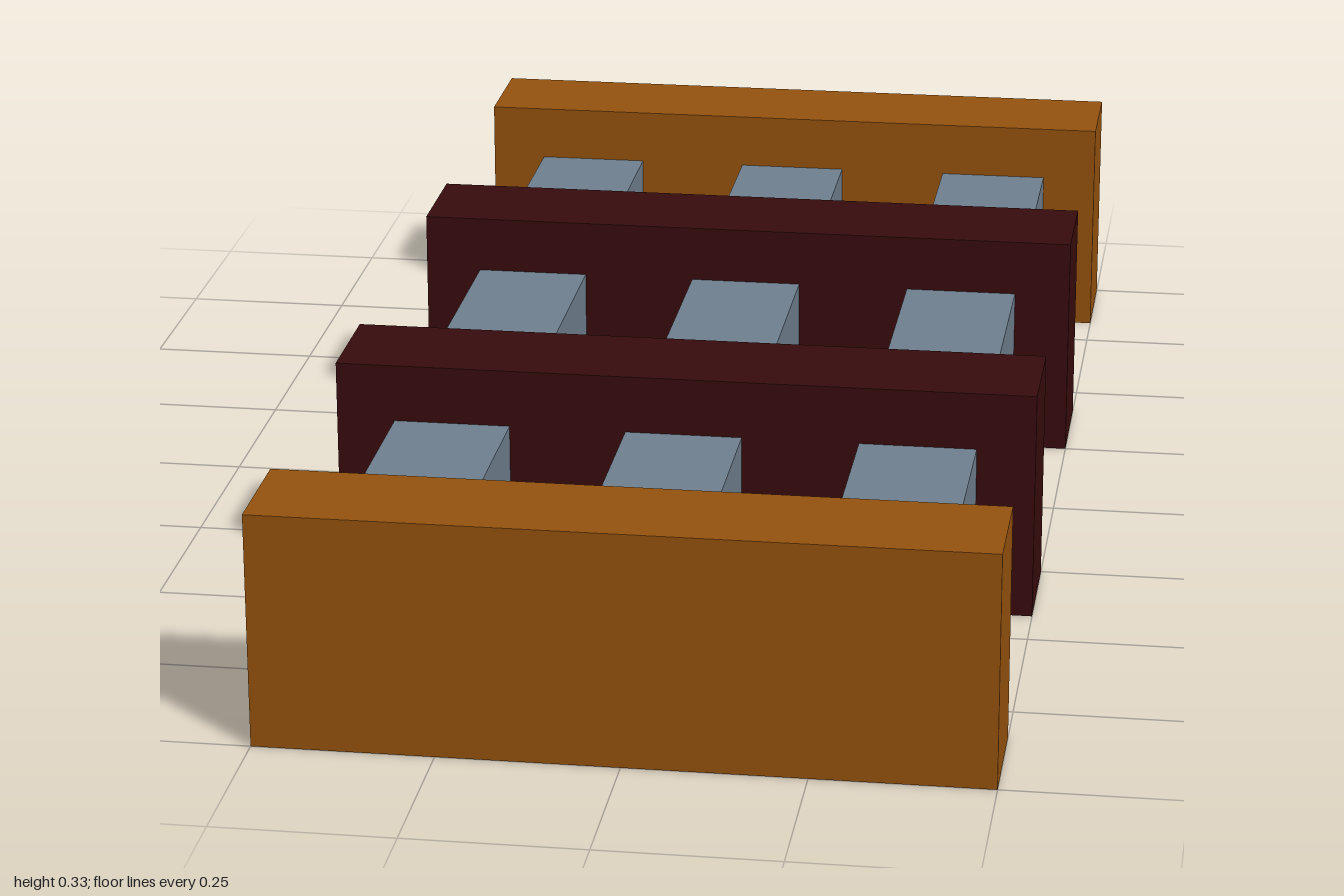
import * as THREE from 'three';

const U = 1 / 12; // the whole piece sits on a grid of twelfths

export function createModel() {
  const group = new THREE.Group();
  const mat = (name, color) => {
    const m = new THREE.MeshStandardMaterial({ color });
    m.name = name;
    return m;
  };
  const orangeBrown = mat('orange brown', 0x96530e);
  const darkMaroon = mat('dark maroon', 0x380c0d);
  const slateGrey = mat('slate grey', 0x708090);

  const block = (name, material, w, h, d, x, z) => {
    const mesh = new THREE.Mesh(new THREE.BoxGeometry(w * U, h * U, d * U), material);
    mesh.name = name;
    mesh.position.set(x * U, 2 * U, z * U);
    group.add(mesh);
  };

  // End plates and inner cross plates, mirrored front to back
  for (const [side, s] of [['front', 1], ['back', -1]]) {
    block(side + 'EndPlate', orangeBrown, 12, 4, 2, 0, s * 11);
    block(side + 'CrossPlate', darkMaroon, 12, 4, 2, 0, s * 4);
  }

  // Three long square bars, let slightly into the end plates
  for (const [side, x] of [['left', 4], ['middle', 0], ['right', -4]]) {
    block(side + 'Bar', slateGrey, 2, 2, 20.2, x, 0);
  }

  return group;
}
